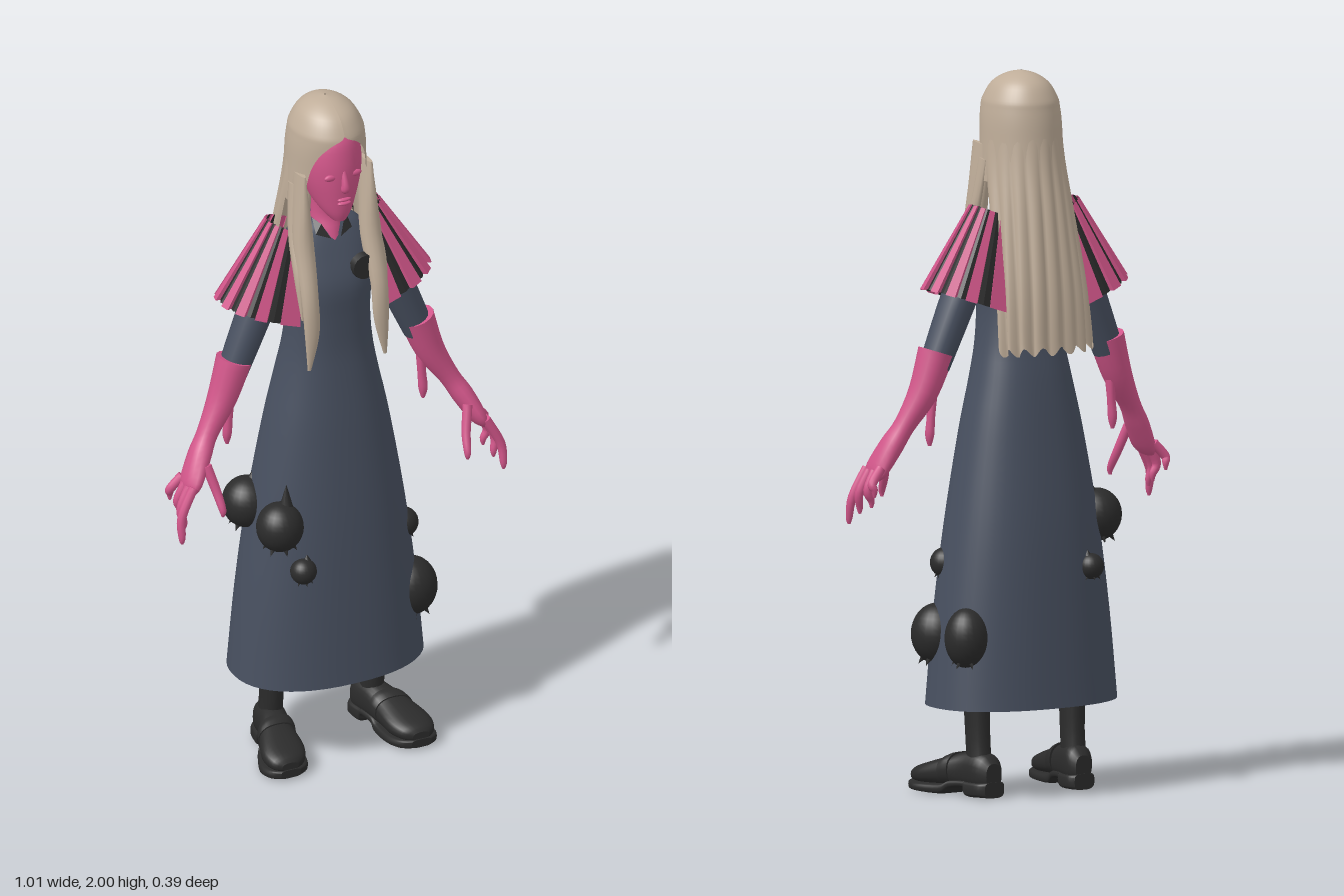
import * as THREE from 'three';
import { mergeGeometries } from 'three/addons/utils/BufferGeometryUtils.js';

const V = (x, y, z) => new THREE.Vector3(x, y, z);
const material = (name, color, extra = {}) => {
  const m = new THREE.MeshStandardMaterial({ color, ...extra });
  m.name = name;
  return m;
};

// Skin over a list of equal rings of points; closed rings get end caps.
function loft(rings, closed = true) {
  const n = rings[0].length, pos = [], idx = [];
  rings.forEach(r => r.forEach(p => pos.push(p.x, p.y, p.z)));
  for (let i = 0; i < rings.length - 1; i++) {
    for (let j = 0; j < (closed ? n : n - 1); j++) {
      const a = i * n + j, b = i * n + (j + 1) % n;
      idx.push(a, b, a + n, b, b + n, a + n);
    }
  }
  if (closed) [rings[0], rings[rings.length - 1]].forEach((r, top) => {
    const base = pos.length / 3, c = V(0, 0, 0);
    r.forEach(p => { c.addScaledVector(p, 1 / n); pos.push(p.x, p.y, p.z); });
    pos.push(c.x, c.y, c.z);
    for (let j = 0; j < n; j++) {
      const k = base + (j + 1) % n;
      idx.push(base + n, top ? base + j : k, top ? k : base + j);
    }
  });
  const g = new THREE.BufferGeometry();
  g.setAttribute('position', new THREE.Float32BufferAttribute(pos, 3));
  g.setIndex(idx);
  g.computeVertexNormals();
  return g;
}

// Catmull-Rom interpolation between rows of numbers.
function smooth(rows, steps = 4) {
  const out = [], at = i => rows[Math.min(Math.max(i, 0), rows.length - 1)];
  for (let i = 0; i < rows.length - 1; i++) for (let s = 0; s < steps; s++) {
    const t = s / steps, [p, q, r, w] = [at(i - 1), at(i), at(i + 1), at(i + 2)];
    out.push(q.map((b, k) => {
      const cubic = 3 * (b - r[k]) + w[k] - p[k];
      const square = 2 * p[k] - 5 * b + 4 * r[k] - w[k];
      return b + 0.5 * t * (r[k] - p[k] + t * (square + t * cubic));
    }));
  }
  out.push(rows[rows.length - 1]);
  return out;
}

const bend = (s, p) => Math.sign(s) * Math.abs(s) ** (2 / p);

// Upright body from rows [y, cx, cz, rx, rz].
function stack(rows, n = 32, p = 2) {
  return loft(smooth(rows).map(([y, cx, cz, rx, rz]) => Array.from({ length: n }, (_, j) => {
    const a = j / n * Math.PI * 2;
    return V(cx + rx * bend(Math.sin(a), p), y, cz + rz * bend(Math.cos(a), p));
  })));
}

// Tapered limb from rows [x, y, z, a, b]; b is the radius nearest to z.
function limb(rows, n = 14) {
  const r = smooth(rows), c = r.map(q => V(q[0], q[1], q[2]));
  return loft(r.map((q, i) => {
    const t = c[Math.min(i + 1, c.length - 1)].clone().sub(c[Math.max(i - 1, 0)]).normalize();
    const u = t.clone().cross(V(0, 0, 1)).normalize(), v = u.clone().cross(t);
    return Array.from({ length: n }, (_, j) => {
      const a = j / n * Math.PI * 2;
      return c[i].clone().addScaledVector(u, q[3] * Math.sin(a)).addScaledVector(v, q[4] * Math.cos(a));
    });
  }));
}

function mirrored(geo) {
  const g = geo.clone().scale(-1, 1, 1), ix = g.index.array;
  for (let i = 0; i < ix.length; i += 3) [ix[i], ix[i + 1]] = [ix[i + 1], ix[i]];
  g.computeVertexNormals();
  return g;
}

export function createModel() {
  const model = new THREE.Group();
  const pink = material('pink', 0xd2568a);
  const pinkCloth = material('pink cloth', 0xd2568a, { side: THREE.DoubleSide, flatShading: true });
  const blackCloth = material('black cloth', 0x2b2b2b, { side: THREE.DoubleSide, flatShading: true });
  const slate = material('slate', 0x485060);
  const hair = material('hair', 0xbfad99, { side: THREE.DoubleSide });
  const black = material('black', 0x2b2b2b);
  const add = (name, geo, mat, parent = model) => {
    const m = new THREE.Mesh(geo, mat);
    m.name = name;
    parent.add(m);
    return m;
  };
  const pair = (name, geo, mat) => {
    add('left ' + name, geo, mat);
    add('right ' + name, mirrored(geo), mat);
  };

  // Dress
  add('dress', stack([
    [0.25, 0, 0, 0.28, 0.19], [0.5, 0, 0, 0.256, 0.178], [0.75, 0, 0, 0.222, 0.162], [1, 0, 0.003, 0.178, 0.135],
    [1.15, 0, 0.005, 0.145, 0.115], [1.25, 0, 0.01, 0.126, 0.1], [1.35, 0, 0.015, 0.118, 0.095],
    [1.45, 0, 0.015, 0.125, 0.095], [1.54, 0, 0, 0.13, 0.078], [1.6, 0, -0.008, 0.1, 0.057], [1.625, 0, -0.01, 0.045, 0.04],
  ], 48, 2.3), slate);
  pair('sleeve', limb([[0.13, 1.55, -0.01, 0.04, 0.05], [0.2, 1.4, -0.005, 0.05, 0.052], [0.285, 1.2, 0, 0.043, 0.043]]), slate);
  const brooch = add('brooch', new THREE.CylinderGeometry(0.036, 0.04, 0.02, 16).rotateX(Math.PI / 2), black);
  brooch.position.set(0.07, 1.495, 0.1);

  // Head, face and neck
  add('neck', stack([[1.55, 0, 0.02, 0.03, 0.05], [1.6, 0, 0.005, 0.042, 0.05], [1.65, 0, 0, 0.04, 0.04], [1.74, 0, 0.01, 0.042, 0.045]], 20), pink);
  add('head', stack([
    [1.655, 0, 0.085, 0.02, 0.022], [1.68, 0, 0.065, 0.042, 0.05], [1.72, 0, 0.04, 0.064, 0.08], [1.78, 0, 0.03, 0.082, 0.093],
    [1.84, 0, 0.02, 0.088, 0.1], [1.9, 0, 0.015, 0.075, 0.09], [1.94, 0, 0.01, 0.04, 0.055],
  ]), pink);
  add('nose', limb([[0, 1.82, 0.115, 0.007, 0.006], [0, 1.78, 0.126, 0.011, 0.011], [0, 1.762, 0.126, 0.013, 0.012], [0, 1.752, 0.12, 0.006, 0.004]], 10), pink);
  [1.729, 1.717].forEach((y, i) => {
    const lip = add(i ? 'lower lip' : 'upper lip', new THREE.SphereGeometry(1, 14, 8), pink);
    lip.scale.set(0.021, 0.006, 0.009);
    lip.position.set(0, y, 0.119);
  });
  pair('eyelid', new THREE.SphereGeometry(1, 14, 8).scale(0.02, 0.01, 0.008).translate(0.037, 1.8, 0.111), pink);
  pair('collar flap', loft([[V(0.015, 1.585, 0.068), V(0.055, 1.6, 0.055)], [V(0.035, 1.625, 0.047), V(0.05, 1.635, 0.02)]], false), blackCloth);

  // Hair cap with an opening for the face, rows [y, rx, zFront, zBack, opening]
  const cap = smooth([
    [1.7, 0.117, 0.113, 0.13, 0.098], [1.8, 0.112, 0.12, 0.122, 0.087], [1.86, 0.109, 0.126, 0.118, 0.07], [1.9, 0.104, 0.128, 0.113, 0.04],
    [1.925, 0.098, 0.122, 0.108, 0], [1.965, 0.075, 0.095, 0.085, 0], [1.99, 0.04, 0.05, 0.048, 0], [2, 0.003, 0.004, 0.004, 0],
  ]);
  add('hair cap', loft(cap.map(([y, rx, zf, zb, gap]) => Array.from({ length: 49 }, (_, j) => {
    const g = Math.asin(Math.min(Math.max(gap / rx, 0), 1)), a = g + j / 48 * (2 * Math.PI - 2 * g), c = Math.cos(a);
    return V(rx * Math.sin(a), y, (c > 0 ? zf : zb) * c);
  })), false), hair);

  // Long back hair in pleated locks, rows [y, rx, cz, rz, pleat]
  const curtain = smooth([
    [1.24, 0.157, -0.115, 0.07, 0.012], [1.4, 0.15, -0.09, 0.088, 0.01], [1.6, 0.132, -0.035, 0.12, 0.007],
    [1.75, 0.118, 0, 0.13, 0.003], [1.86, 0.107, 0, 0.116, 0],
  ]);
  add('back hair', loft(curtain.map(([y, rx, cz, rz, d], i) => Array.from({ length: 73 }, (_, j) => {
    const a = Math.PI / 2 + j / 72 * Math.PI, k = 1 - d / 0.1 * (1 - Math.abs(Math.sin(j / 72 * Math.PI * 9)));
    const ragged = i === 0 ? 0.012 * Math.sin(j * 0.7) : 0;
    return V(rx * k * Math.sin(a), y + ragged, cz + rz * k * Math.cos(a));
  })), false), hair);
  pair('front lock', limb([
    [0.102, 1.8, 0.045, 0.008, 0.04], [0.102, 1.7, 0.055, 0.02, 0.04], [0.103, 1.58, 0.075, 0.03, 0.032], [0.106, 1.45, 0.12, 0.025, 0.02],
    [0.106, 1.34, 0.135, 0.022, 0.012], [0.116, 1.23, 0.138, 0.005, 0.003],
  ]), hair);
  pair('side strand', limb([
    [0.112, 1.76, 0.02, 0.006, 0.02], [0.122, 1.62, 0.045, 0.012, 0.018], [0.128, 1.5, 0.095, 0.012, 0.015], [0.128, 1.38, 0.12, 0.003, 0.003],
  ], 10), hair);

  // Pleated striped shoulder capes: pink box pleats over recessed black ones
  const capePoint = (t, v, k) => {
    const a = t * Math.PI, s = Math.max(Math.sin(a), 0) ** 0.75, c = bend(Math.cos(a), 2.4), w = v ** 0.85;
    const mix = (p, q) => p + (q - p) * w;
    return V(mix(0.085, 0.125) + mix(0.085, 0.195) * s * k, mix(1.605, 1.35) + mix(0.035, 0.065) * s, -0.015 + mix(0.055, 0.115) * c * k);
  };
  const stripes = 15, pinks = [], blacks = [], levels = [1, 0.66, 0.33, 0];
  for (let i = 0; i < stripes; i++) {
    const t0 = i / stripes, t1 = (i + 1) / stripes, raised = i % 2 === 0;
    const cols = raised ? [[t0, 0.93], [t0, 1], [t1, 1], [t1, 0.93]] : [[t0, 0.93], [(t0 + t1) / 2, 0.96], [t1, 0.93]];
    (raised ? pinks : blacks).push(loft(levels.map(v => cols.map(([t, k]) => capePoint(t, v, k))), false));
  }
  pair('cape pink pleats', mergeGeometries(pinks), pinkCloth);
  pair('cape black pleats', mergeGeometries(blacks), blackCloth);

  // Gloves with fingers and a hanging drip
  pair('glove', limb([
    [0.279, 1.24, 0, 0.05, 0.052], [0.318, 1.13, 0.005, 0.041, 0.043], [0.37, 1.04, 0.02, 0.029, 0.032],
    [0.402, 0.985, 0.035, 0.03, 0.04], [0.437, 0.92, 0.055, 0.024, 0.048], [0.45, 0.895, 0.06, 0.012, 0.035],
  ]), pink);
  pair('glove drip', limb([[0.29, 1.14, 0, 0.012, 0.02], [0.296, 1.06, 0, 0.012, 0.013], [0.3, 1.01, 0, 0.013, 0.013], [0.3, 0.98, 0, 0.005, 0.005]], 10), pink);
  const fingers = {
    'index finger': [0.447, 0.92, 0.09, 0.492, 0.765, 0.11], 'middle finger': [0.45, 0.915, 0.07, 0.474, 0.795, 0.085],
    'ring finger': [0.45, 0.915, 0.045, 0.462, 0.815, 0.045], 'little finger': [0.447, 0.925, 0.02, 0.478, 0.85, 0.005],
    thumb: [0.4, 0.97, 0.075, 0.375, 0.83, 0.125],
  };
  for (const [name, [x, y, z, X, Y, Z]] of Object.entries(fingers)) {
    const out = name === 'thumb' ? -0.005 : 0.018;
    pair(name, limb([[x, y, z, 0.014, 0.014], [(x + X) / 2 + out, (y + Y) / 2, (z + Z) / 2, 0.013, 0.013],
      [X, Y + 0.02, Z, 0.01, 0.01], [X, Y, Z, 0.004, 0.004]], 10), pink);
  }

  // Legs and shoes; shoes are stacked heel to toe and tipped forward
  pair('leg', stack([[0.07, 0.155, -0.03, 0.034, 0.04], [0.16, 0.155, -0.02, 0.032, 0.04], [0.32, 0.157, -0.015, 0.036, 0.045]], 18), black);
  const shoe = (rows, p) => stack(rows, 24, p).rotateX(Math.PI / 2);
  pair('shoe', shoe([
    [-0.088, 0.147, -0.06, 0.025, 0.035], [-0.06, 0.15, -0.068, 0.042, 0.052], [0, 0.16, -0.07, 0.044, 0.052], [0.06, 0.178, -0.062, 0.054, 0.042],
    [0.13, 0.192, -0.05, 0.064, 0.032], [0.175, 0.198, -0.043, 0.05, 0.023], [0.192, 0.2, -0.038, 0.025, 0.012],
  ], 2.4), black);
  pair('sole', shoe([
    [-0.09, 0.147, -0.022, 0.03, 0.022], [-0.07, 0.149, -0.022, 0.045, 0.022], [-0.02, 0.156, -0.022, 0.047, 0.022], [-0.012, 0.157, -0.034, 0.045, 0.01],
    [0.035, 0.17, -0.03, 0.05, 0.011], [0.06, 0.178, -0.015, 0.058, 0.015], [0.13, 0.193, -0.014, 0.071, 0.014], [0.175, 0.198, -0.016, 0.058, 0.014], [0.196, 0.2, -0.018, 0.03, 0.012],
  ], 4), black);
  pair('shoe strap', shoe([[0.035, 0.17, -0.07, 0.054, 0.047], [0.05, 0.174, -0.068, 0.057, 0.046], [0.065, 0.179, -0.063, 0.058, 0.043]], 2.4), black);

  // Spiky dark pods growing on the skirt, [x, y, z, radius, height factor]
  [[-0.195, 0.75, 0.115, 0.066, 1.08], [-0.14, 0.615, 0.15, 0.037, 1], [-0.215, 0.755, -0.05, 0.07, 1.05], [-0.13, 0.63, -0.152, 0.036, 1],
    [0.228, 0.445, 0.07, 0.074, 1.15], [0.23, 0.45, -0.08, 0.062, 1.35], [0.21, 0.642, 0.06, 0.042, 1]].forEach(([x, y, z, r, h], i) => {
    const pod = new THREE.Group();
    pod.name = 'pod ' + (i + 1);
    pod.position.set(x, y, z);
    add('pod body', new THREE.SphereGeometry(r, 24, 16).scale(1, h, 1), black, pod);
    const up = i === 0 ? 0.07 : r * 0.45;
    const tip = add('pod tip', new THREE.ConeGeometry(r * 0.3, up, 8), black, pod);
    tip.position.set(-Math.sign(x) * r * 0.3, r * h * 0.9 + up * 0.4, 0);
    for (let k = 0; k < 6; k++) {
      const a = k * 1.05 + i, spike = add('pod spike', new THREE.ConeGeometry(r * 0.14, r * 0.4, 6), black, pod);
      const d = V(Math.sin(a) * 0.6, -0.85, Math.cos(a) * 0.6).normalize();
      spike.position.copy(d).multiplyScalar(r * 1.05).setY(d.y * r * 1.05 * h);
      spike.quaternion.setFromUnitVectors(V(0, 1, 0), d);
    }
    model.add(pod);
  });

  return model;
}
